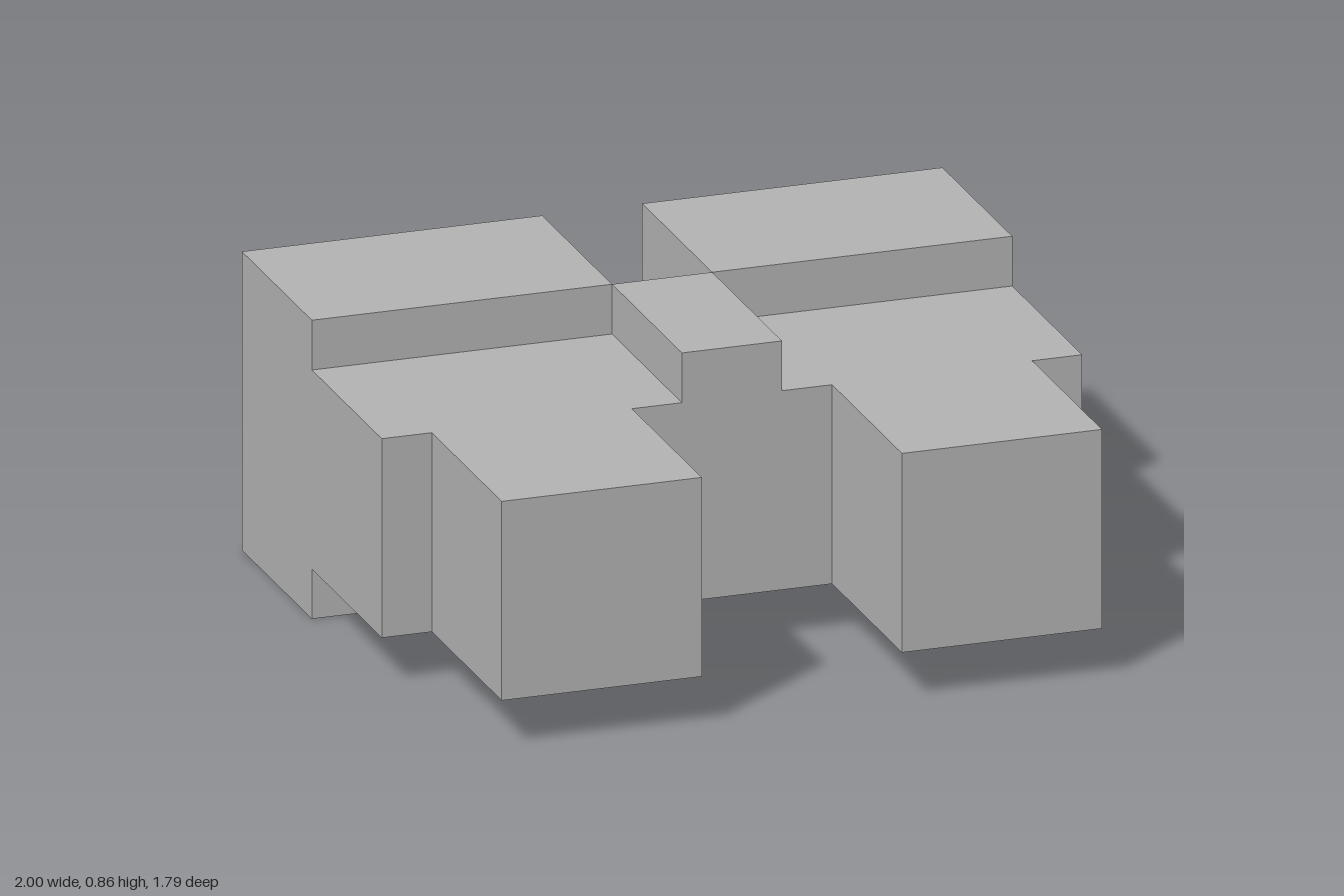
import * as THREE from 'three';

// All sizes sit on a grid of 1/28
const U = 1 / 28;

export function createModel() {
  const model = new THREE.Group();
  model.name = 'twinPodBody';
  const grey = new THREE.MeshStandardMaterial({ color: 0xb2b2b2 });
  grey.name = 'plain grey';

  // Box from its low and high corners, in grid units
  function block(name, parent, [x0, x1], [y0, y1], [z0, z1]) {
    const geometry = new THREE.BoxGeometry((x1 - x0) * U, (y1 - y0) * U, (z1 - z0) * U);
    const mesh = new THREE.Mesh(geometry, grey);
    mesh.position.set((x0 + x1) * U / 2, (y0 + y1) * U / 2, (z0 + z1) * U / 2);
    mesh.name = name;
    parent.add(mesh);
  }

  // Two mirrored pods, each a stack of blocks from back to front
  for (const [side, s] of [['left', 1], ['right', -1]]) {
    const pod = new THREE.Group();
    pod.name = side + 'Pod';
    const span = (a, b) => (s > 0 ? [a, b] : [-b, -a]);
    block('rearPlate', pod, span(8, 24), [4, 20], [-25, -23]);
    block('rearBlock', pod, span(4, 28), [0, 24], [-23, -7]);
    block('middleBlock', pod, span(4, 28), [4, 20], [-7, 9]);
    block('frontBlock', pod, span(8, 24), [4, 20], [9, 25]);
    model.add(pod);
  }

  // Raised bridge joining the pods
  block('bridge', model, [-4, 4], [4, 24], [-7, 9]);

  return model;
}
